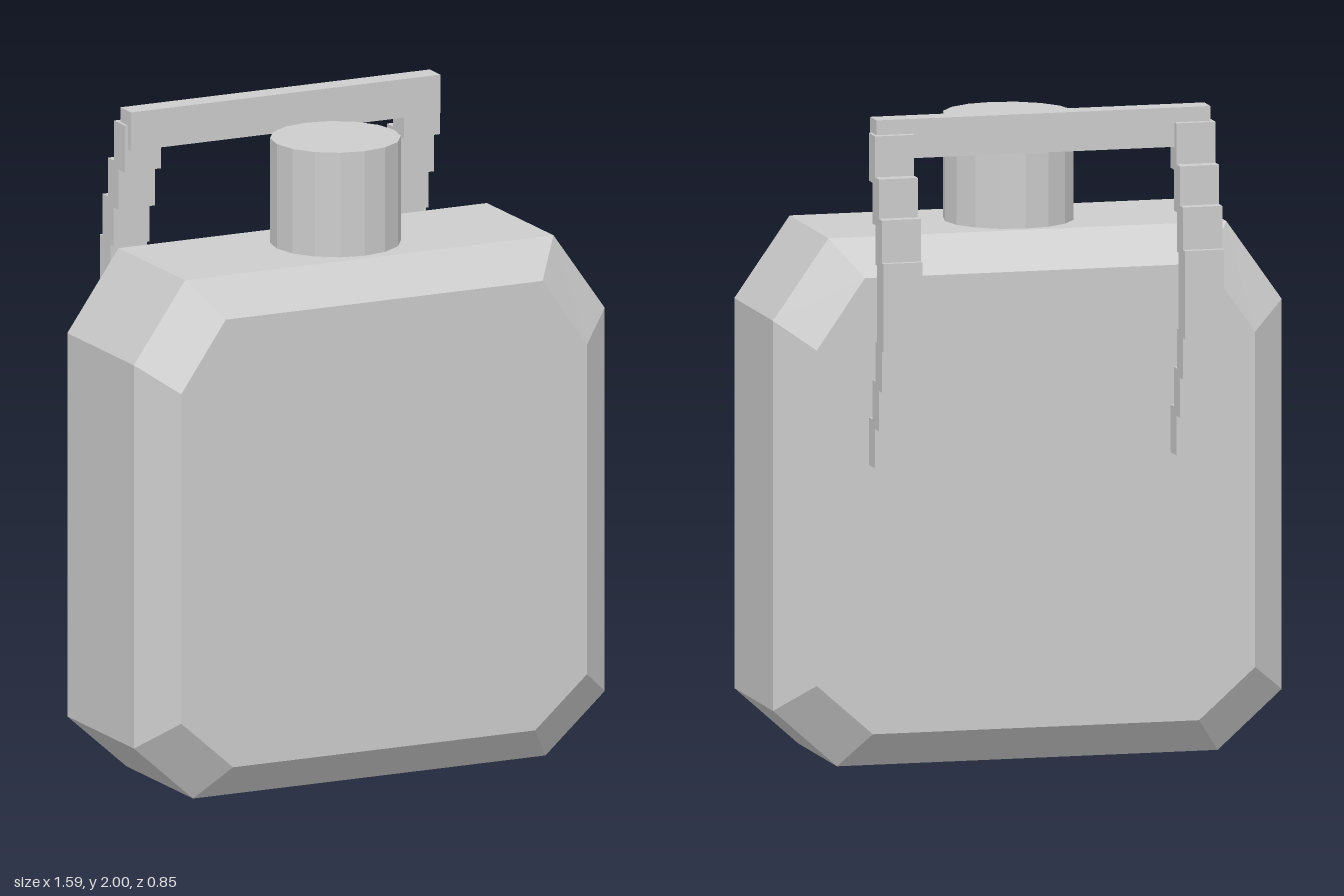
import * as THREE from 'three';

// Octagon at depth z, counter-clockwise seen from the front.
function octagon(bottomX, bottomY, sideX, lowY, highY, topX, topY, z) {
  const right = [[bottomX, bottomY], [sideX, lowY], [sideX, highY], [topX, topY]];
  const left = right.map(([x, y]) => [-x, y]).reverse();
  return [...right, ...left].map(([x, y]) => new THREE.Vector3(x, y, z));
}

// Closed faceted solid through rings ordered front to back.
function loft(rings) {
  const points = [];
  const n = rings[0].length;
  for (let k = 0; k < rings.length - 1; k++) {
    for (let i = 0; i < n; i++) {
      const j = (i + 1) % n;
      const a = rings[k][i], b = rings[k][j], c = rings[k + 1][j], d = rings[k + 1][i];
      points.push(a, d, c, a, c, b);
    }
  }
  const front = rings[0], back = rings[rings.length - 1];
  for (let i = 1; i < n - 1; i++) {
    points.push(front[0], front[i], front[i + 1]);
    points.push(back[0], back[i + 1], back[i]);
  }
  const geometry = new THREE.BufferGeometry().setFromPoints(points);
  geometry.computeVertexNormals();
  return geometry;
}

export function createModel() {
  const group = new THREE.Group();
  const grey = new THREE.MeshStandardMaterial({ color: 0xcccccc, flatShading: true });
  grey.name = 'plain grey';

  function add(name, geometry, x = 0, y = 0, z = 0, parent = group) {
    const mesh = new THREE.Mesh(geometry, grey);
    mesh.name = name;
    mesh.position.set(x, y, z);
    parent.add(mesh);
    return mesh;
  }

  // Bevelled tank body
  const inner = (z) => octagon(0.51, 0.11, 0.685, 0.265, 1.29, 0.535, 1.505, z);
  const outer = (z) => octagon(0.595, 0, 0.795, 0.178, 1.37, 0.622, 1.615, z);
  add('body', loft([inner(0.427), outer(0.327), outer(-0.12), inner(-0.22)]));

  // Neck on the top face
  add('neck', new THREE.CylinderGeometry(0.198, 0.198, 0.34, 16), 0, 1.77, 0.1);

  // Crossbar joining the two straps
  add('crossbar', new THREE.BoxGeometry(1.044, 0.12, 0.072), 0, 1.94, -0.27);

  // Stepped straps curving behind the body: [centre y, centre z]
  const steps = [
    [1.882, -0.292], [1.757, -0.334], [1.637, -0.369], [1.445, -0.388],
    [1.257, -0.369], [1.134, -0.334], [1.013, -0.292],
  ];
  for (const [name, side] of [['leftStrap', 1], ['rightStrap', -1]]) {
    const strap = new THREE.Group();
    strap.name = name;
    group.add(strap);
    steps.forEach(([y, z], i) => {
      const height = i === 3 ? 0.27 : 0.146;
      add('strapBlock', new THREE.BoxGeometry(0.122, height, 0.073), side * 0.471, y, z, strap);
    });
  }
  return group;
}
